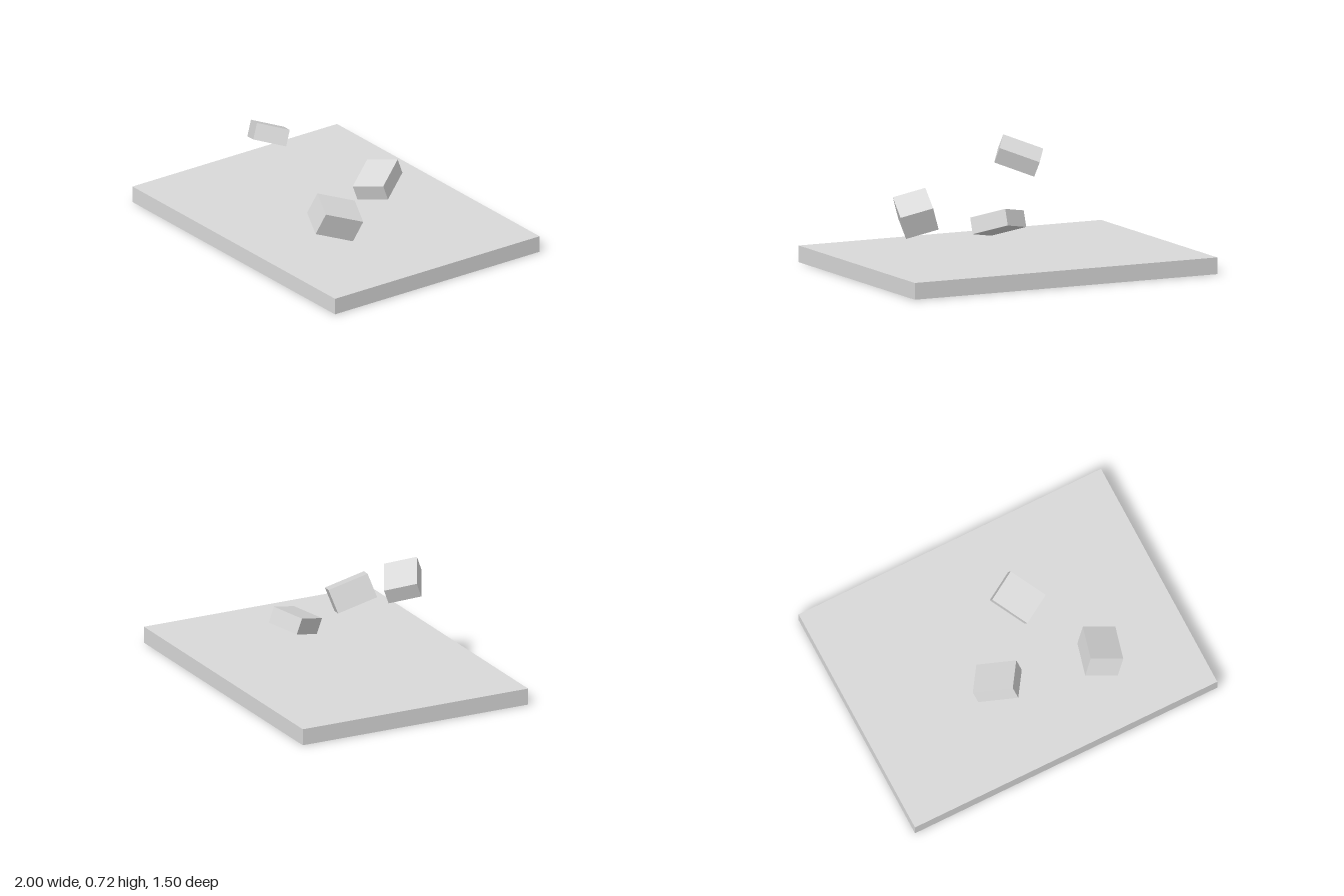
import * as THREE from 'three';

// Each block: size along its side, up and depth axes, centre, side direction, up direction
const BLOCKS = [
  { name: 'leftBlock', size: [0.25, 0.1, 0.2], at: [-0.235, 0.607, 0.32], side: [0.207, 0.084, 0.11], up: [-0.014, 0.09, -0.037] },
  { name: 'rightBlock', size: [0.2, 0.15, 0.25], at: [0.44, 0.311, 0.333], side: [0.178, -0.053, 0.07], up: [0.052, 0.133, -0.035] },
  { name: 'backBlock', size: [0.2, 0.1, 0.25], at: [0.16, 0.314, -0.186], side: [0.174, 0.037, -0.098], up: [0, 0.092, 0.033] },
];

export function createModel() {
  const model = new THREE.Group();
  const grey = new THREE.MeshStandardMaterial({ color: 0xd9d9d9 });
  grey.name = 'light grey';

  const addBox = (name, size, at) => {
    const mesh = new THREE.Mesh(new THREE.BoxGeometry(...size), grey);
    mesh.name = name;
    mesh.position.set(...at);
    model.add(mesh);
    return mesh;
  };

  // Flat base slab
  addBox('baseSlab', [2, 0.1, 1.5], [0, 0.05, 0]);

  // Tumbling blocks floating above the slab
  for (const { name, size, at, side, up } of BLOCKS) {
    const x = new THREE.Vector3(...side).normalize();
    const z = x.clone().cross(new THREE.Vector3(...up)).normalize();
    const y = z.clone().cross(x);
    addBox(name, size, at).quaternion.setFromRotationMatrix(new THREE.Matrix4().makeBasis(x, y, z));
  }
  return model;
}
